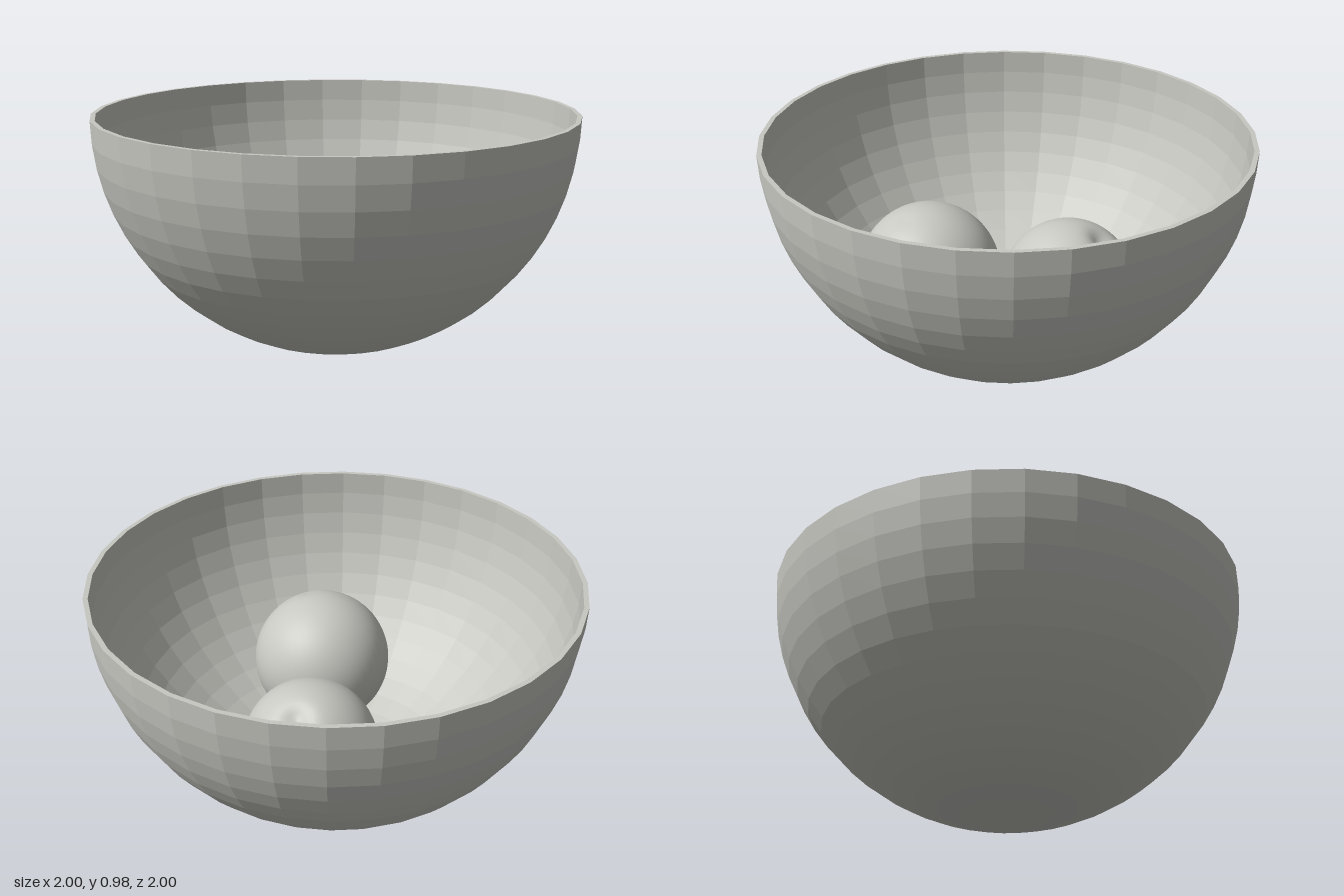
import * as THREE from 'three';

const stone = new THREE.MeshStandardMaterial({ color: 0xc8c8c2 });
stone.name = 'paleGrey';

// Faceted half-sphere bowl with a flat foot and a thin wall
function makeBowl() {
  const step = Math.PI / 32;
  const centreY = Math.cos(2 * step);
  const ring = (radius, i) =>
    new THREE.Vector2(radius * Math.sin(i * step), centreY - radius * Math.cos(i * step));
  const outer = [], inner = [];
  for (let i = 2; i <= 16; i++) {
    outer.push(ring(1, i));
    inner.unshift(ring(0.98, i));
  }
  const profile = [
    new THREE.Vector2(0, 0), ...outer,
    ...inner, new THREE.Vector2(0, inner[inner.length - 1].y),
  ];
  const geometry = new THREE.LatheGeometry(profile, 32).toNonIndexed();
  geometry.computeVertexNormals();
  const bowl = new THREE.Mesh(geometry, stone);
  bowl.name = 'bowl';
  return bowl;
}

// Smooth round fruit: deep stem dimple on one pole, faint one on the other
function makeFruit(name, radius, position, stemDirection) {
  const profile = [];
  const rings = 48;
  for (let i = rings; i >= 0; i--) {
    const a = (i / rings) * Math.PI;
    const dent = 0.12 * Math.exp(-((a / 0.2) ** 2))
      + 0.015 * Math.exp(-(((Math.PI - a) / 0.12) ** 2));
    const r = radius * (1 - dent);
    profile.push(new THREE.Vector2(Math.max(0, r * Math.sin(a)), r * Math.cos(a)));
  }
  const fruit = new THREE.Mesh(new THREE.LatheGeometry(profile, 48), stone);
  fruit.name = name;
  fruit.position.set(...position);
  fruit.quaternion.setFromUnitVectors(
    new THREE.Vector3(0, 1, 0), new THREE.Vector3(...stemDirection).normalize());
  return fruit;
}

export function createModel() {
  const model = new THREE.Group();
  model.name = 'fruitBowl';
  model.add(
    makeBowl(),
    makeFruit('backFruit', 0.28, [0.22, 0.335, -0.155], [0.43, 0.84, -0.31]),
    makeFruit('frontFruit', 0.297, [-0.12, 0.39, 0.315], [0, -0.92, -0.39]),
  );
  return model;
}
